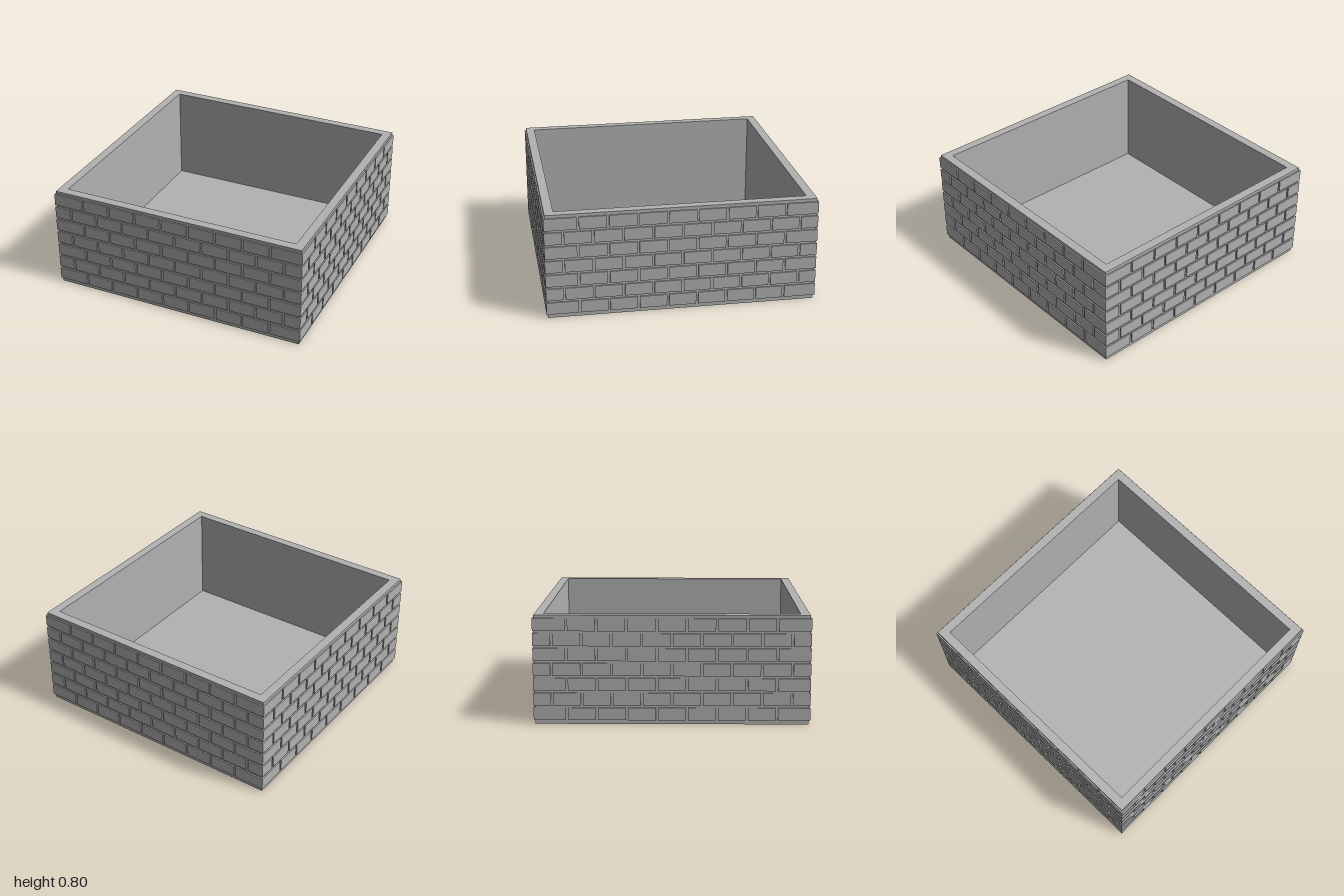
import * as THREE from 'three';

export function createModel() {
  const model = new THREE.Group();
  const stone = new THREE.MeshStandardMaterial({ color: 0xb2b2b2 });
  stone.name = 'grey stone';

  const core = 0.99, inner = 0.923, height = 0.8, floorY = 0.04;

  function add(parent, geometry, name) {
    const mesh = new THREE.Mesh(geometry, stone);
    mesh.name = name;
    parent.add(mesh);
    return mesh;
  }

  function square(Type, h) {
    return new Type([[-h, -h], [h, -h], [h, h], [-h, h]].map(([x, y]) => new THREE.Vector2(x, y)));
  }

  // Floor slab
  add(model, new THREE.BoxGeometry(core * 2, floorY, core * 2), 'floor').position.y = floorY / 2;

  // Four walls as one square ring
  const ring = square(THREE.Shape, core);
  ring.holes.push(square(THREE.Path, inner));
  const walls = new THREE.ExtrudeGeometry(ring, { depth: height - floorY, bevelEnabled: false });
  walls.rotateX(-Math.PI / 2);
  add(model, walls, 'walls').position.y = floorY;

  // Raised bricks in running bond; end bricks reach the corners
  const pitch = 0.2165, half = 0.1, rows = 7, rowPitch = 0.109, brickHeight = 0.092;
  const sides = ['frontBricks', 'leftBricks', 'backBricks', 'rightBricks'];
  sides.forEach((name, side) => {
    const group = new THREE.Group();
    group.name = name;
    group.rotation.y = side * Math.PI / 2;
    const end = side % 2 ? core : 1; // front and back bricks cover the corners
    for (let row = 0; row < rows; row++) {
      const last = row % 2 ? 4.5 : 4;
      for (let k = -last; k <= last; k++) {
        const x0 = k === -last ? -end : k * pitch - half;
        const x1 = k === last ? end : k * pitch + half;
        const brick = add(group, new THREE.BoxGeometry(x1 - x0, brickHeight, 0.02), 'brick');
        brick.position.set((x0 + x1) / 2, 0.03 + row * rowPitch + brickHeight / 2, 0.99);
      }
    }
    model.add(group);
  });

  return model;
}
